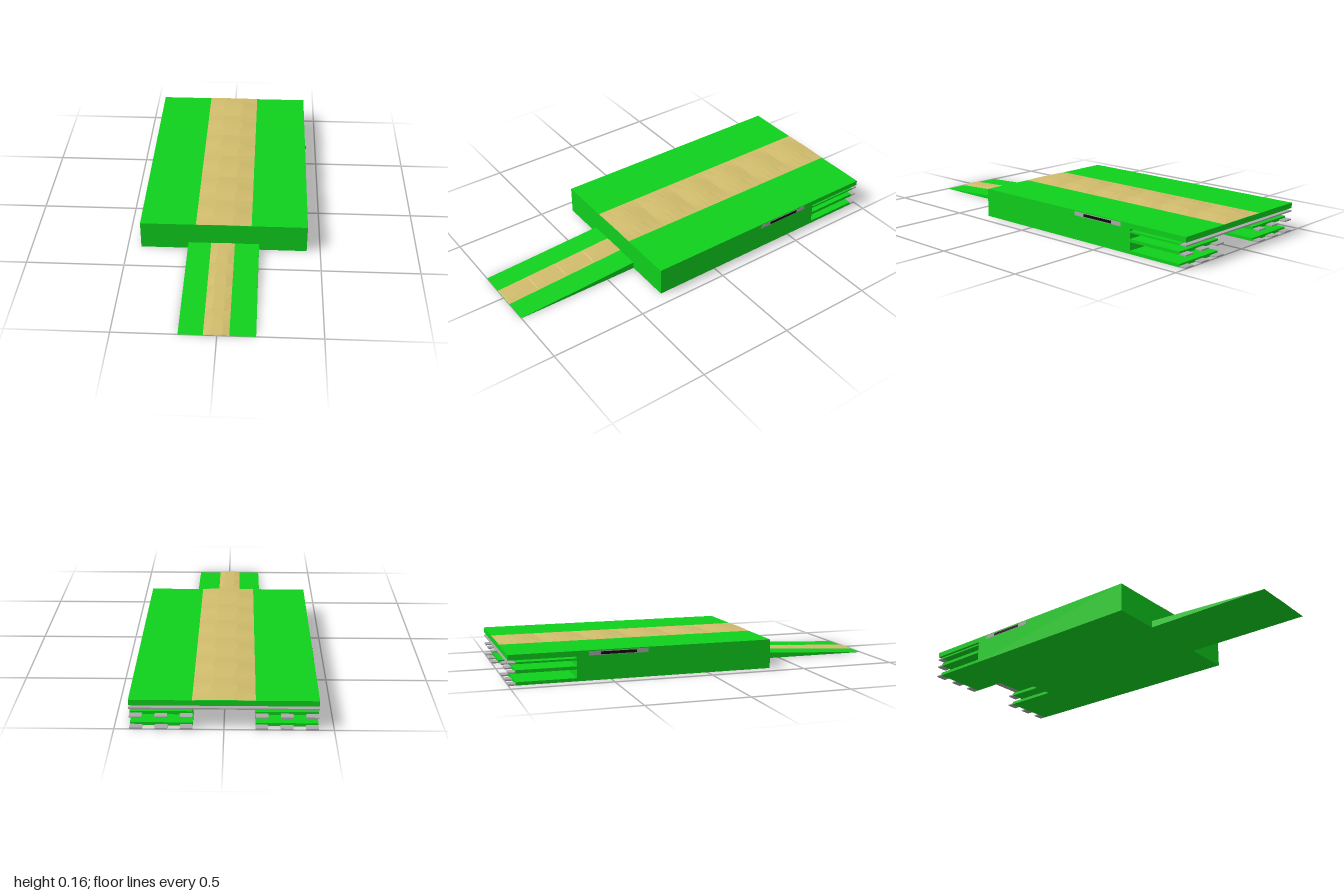
import * as THREE from 'three';

const material = (color, extra = {}) => new THREE.MeshStandardMaterial({ color, ...extra });

export function createModel() {
  const model = new THREE.Group();
  const green = material(0x0fd01c);
  const tan = material(0xd0bc6c, { flatShading: true, side: THREE.DoubleSide });
  const grey = material(0xaaaaaa);
  const black = material(0x0a0a0a);

  // Box given by its limits on each axis
  function box(name, mat, [x0, x1], [y0, y1], [z0, z1], parent = model) {
    const mesh = new THREE.Mesh(new THREE.BoxGeometry(x1 - x0, y1 - y0, z1 - z0), mat);
    mesh.position.set((x0 + x1) / 2, (y0 + y1) / 2, (z0 + z1) / 2);
    mesh.name = name;
    parent.add(mesh);
    return mesh;
  }

  // Row of low-poly mounds; each profile entry is [fraction of length, height, half width of the flat top]
  function moundPath(name, x0, x1, z0, z1, count, profile, baseY) {
    const positions = [], index = [];
    const middle = (x0 + x1) / 2, length = (z1 - z0) / count;
    let rows = 0;
    for (let i = 0; i < count; i++) {
      for (const [t, height, flat] of profile) {
        const z = z0 + (i + t) * length, y = baseY(z);
        positions.push(x0, y, z, middle - flat, y + height, z, middle + flat, y + height, z, x1, y, z);
        rows++;
      }
    }
    for (let r = 0; r < rows - 1; r++) {
      for (let c = 0; c < 3; c++) {
        const a = r * 4 + c, b = a + 4;
        index.push(a, b, a + 1, a + 1, b, b + 1);
      }
    }
    const geometry = new THREE.BufferGeometry();
    geometry.setAttribute('position', new THREE.Float32BufferAttribute(positions, 3));
    geometry.setIndex(index);
    geometry.computeVertexNormals();
    const mesh = new THREE.Mesh(geometry, tan);
    mesh.name = name;
    model.add(mesh);
  }

  const W = 0.43, inner = 0.143, backWall = -0.67, tabStart = -0.965;

  // Solid block and the top slab overhanging the back
  box('body', green, [-W, W], [0, 0.149], [backWall, 0.34]);
  box('topSlab', green, [-W, W], [0.122, 0.149], [-1, backWall]);

  // Full-width shelf under the slab, with a grey lip
  box('upperShelf', green, [-W, W], [0.103, 0.112], [tabStart, backWall]);
  box('upperShelfLip', grey, [-W, W], [0.103, 0.11], [-1, tabStart]);

  // Two shelves on each side, each ending in three grey tabs
  for (const side of [-1, 1]) {
    const span = (a, b) => (side > 0 ? [a, b] : [-b, -a]);
    const prong = new THREE.Group();
    prong.name = side > 0 ? 'leftShelves' : 'rightShelves';
    model.add(prong);
    for (const y of [0, 0.058]) {
      box('shelf', green, span(inner, W), [y, y + 0.016], [tabStart, backWall], prong);
      const tab = (W - inner) / 5;
      for (let i = 0; i < 3; i++) {
        const x = inner + 2 * i * tab;
        box('shelfTab', grey, span(x, x + tab), [y, y + 0.007], [-1, tabStart], prong);
      }
    }

    // Grey frame with a dark slot on the side wall
    box('slotFrame', grey, span(W - 0.004, W + 0.001), [0.123, 0.144], [-0.61, -0.31], prong);
    box('slot', black, span(W - 0.004, W + 0.002), [0.126, 0.14], [-0.55, -0.37], prong);
  }

  // Wedge-shaped ramp at the front
  const rise = 0.036;
  const wedge = new THREE.Shape([
    new THREE.Vector2(-1, 0), new THREE.Vector2(-0.34, 0), new THREE.Vector2(-0.34, rise),
  ]);
  const rampGeometry = new THREE.ExtrudeGeometry(wedge, { depth: 0.366, bevelEnabled: false });
  rampGeometry.rotateY(Math.PI / 2).translate(-0.183, 0, 0);
  const ramp = new THREE.Mesh(rampGeometry, green);
  ramp.name = 'ramp';
  model.add(ramp);

  // Mounded path along the top
  moundPath('topPath', -inner, inner, -1, 0.34, 6, [
    [0, 0.002, 0.05], [0.28, 0.009, 0.045], [0.42, 0.011, 0.06],
    [0.58, 0.011, 0.06], [0.72, 0.009, 0.045], [1, 0.002, 0.05],
  ], () => 0.1495);

  // Stepped path down the ramp
  moundPath('rampPath', -0.065, 0.058, 0.34, 1, 4, [
    [0, 0.001, 0.025], [0.3, 0.004, 0.022], [0.65, 0.006, 0.028], [0.97, 0.006, 0.03], [0.999, 0.001, 0.03],
  ], (z) => 0.0005 + rise * (1 - z) / 0.66);

  return model;
}
